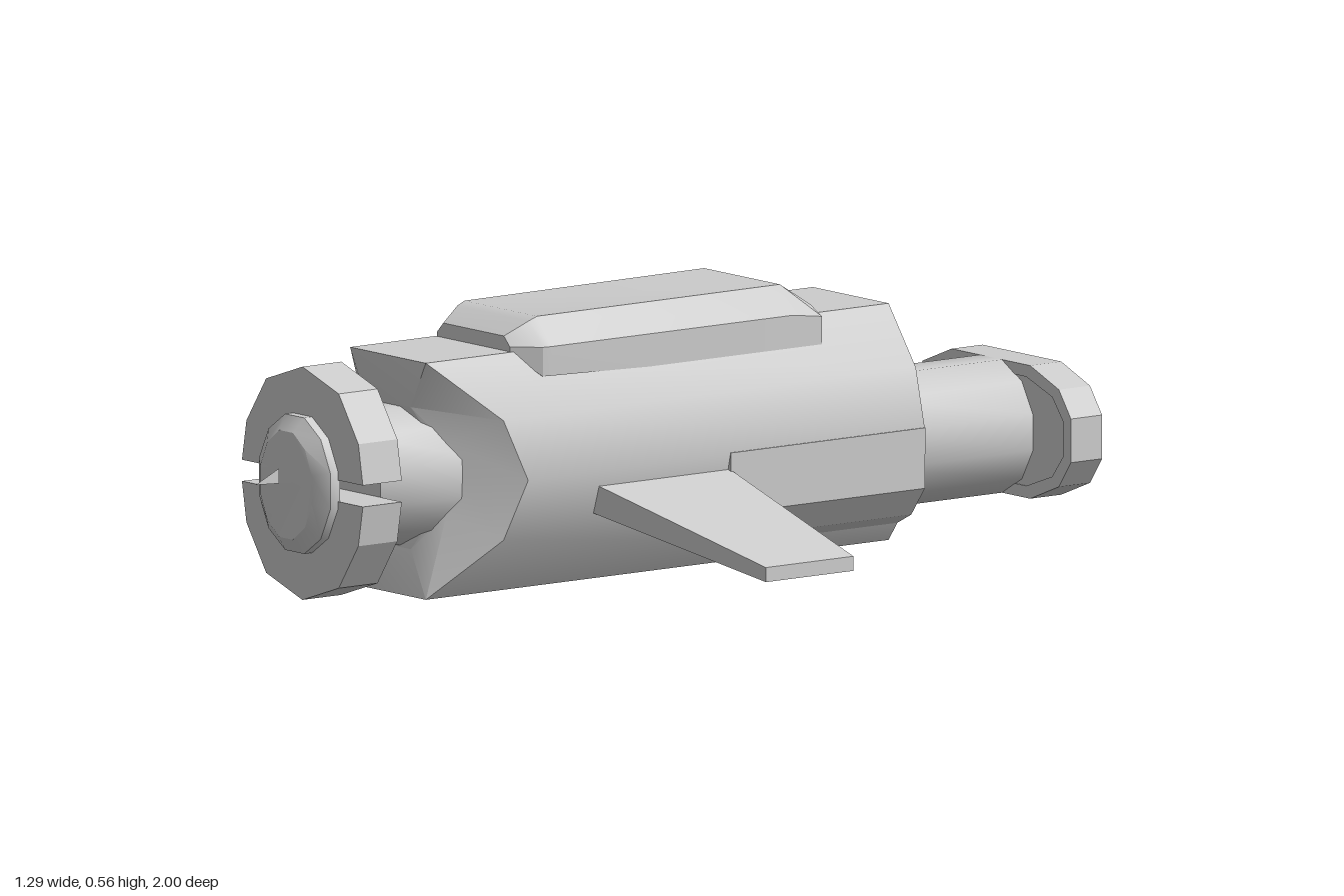
import * as THREE from 'three';
import { toCreasedNormals } from 'three/addons/utils/BufferGeometryUtils.js';

const grey = new THREE.MeshStandardMaterial({ color: 0xcccccc });
const thin = new THREE.MeshStandardMaterial({ color: 0xcccccc, side: THREE.DoubleSide });

// Closed skin through rings of [x, y, z] points, with both ends capped
function loft(rings, crease = 0.7) {
  const n = rings[0].length, last = (rings.length - 1) * n, index = [];
  for (let i = 0; i < rings.length - 1; i++) {
    for (let j = 0; j < n; j++) {
      const a = i * n + j, b = i * n + (j + 1) % n;
      index.push(a, b, b + n, a, b + n, a + n);
    }
  }
  for (let j = 1; j < n - 1; j++) {
    index.push(0, j + 1, j, last, last + j, last + j + 1);
  }
  const g = new THREE.BufferGeometry();
  g.setAttribute('position', new THREE.Float32BufferAttribute(rings.flat(2), 3));
  g.setIndex(index);
  return toCreasedNormals(g, crease);
}

// Flat-topped polygon ring that reaches rx and ry exactly
function oval(rx, ry, cy, z, n = 12) {
  const k = 1 / Math.cos(Math.PI / n);
  return Array.from({ length: n }, (_, i) => {
    const a = (i + 0.5) * 2 * Math.PI / n;
    return [rx * k * Math.cos(a), cy + ry * k * Math.sin(a), z];
  });
}

function slab(points, depth, z, hole) {
  const shape = new THREE.Shape(points.map(p => new THREE.Vector2(...p)));
  if (hole) shape.holes.push(new THREE.Path(hole.map(p => new THREE.Vector2(...p))));
  const g = new THREE.ExtrudeGeometry(shape, { depth, bevelEnabled: false });
  return toCreasedNormals(g.translate(0, 0, z), 0.3);
}

export function createModel() {
  const model = new THREE.Group();
  const add = (name, geometry, material = grey, parent = model) => {
    const mesh = new THREE.Mesh(geometry, material);
    mesh.name = name;
    parent.add(mesh);
    return mesh;
  };

  // Ten-sided hull whose front is cut back at the sides
  const quarter = [[0.245, 0.247], [0.215, 0.37], [0.125, 0.49]];
  const upper = [...quarter, ...quarter.slice().reverse().map(([x, y]) => [-x, y])];
  const outline = [...upper, [-0.215, 0.124], [-0.125, 0.003], [0.125, 0.003], [0.215, 0.124]];
  const hullRing = (s, zSide, zMid, zTop) => outline.map(([x, y]) => [
    x * s, 0.247 + (y - 0.247) * s,
    Math.abs(x) > 0.24 ? zSide : Math.abs(x) > 0.2 ? zMid : zTop,
  ]);
  add('hull', loft([
    hullRing(1, -0.53, -0.53, -0.53),
    hullRing(1, 0.49, 0.53, 0.66),
    hullRing(0.6, 0.59, 0.61, 0.66),
  ]));

  for (const s of [1, -1]) {
    const side = s > 0 ? 'left' : 'right';

    // Lower side panel behind the wing
    const panel = [[0.2, 0.25], [0.15, 0.04], [0.2, 0.065], [0.245, 0.125], [0.247, 0.25]]
      .map(([x, y]) => [x * s, y]);
    if (s < 0) panel.reverse();
    add(side + 'SidePanel', loft([-0.53, -0.03].map(z => panel.map(p => [...p, z])), 0.2));

    // Swept, drooping wing
    const rib = (x, top, bottom, front) => [
      [x * s, top, -0.035], [x * s, top, front], [x * s, bottom, front], [x * s, bottom, -0.035],
    ];
    const ribs = [rib(0.17, 0.235, 0.17, 0.32), rib(0.645, 0.09, 0.06, 0.19)];
    add(side + 'Wing', loft(s > 0 ? ribs : ribs.reverse(), 0.2));
  }

  // Raised pack on the back
  const packRing = (z, w, topW, low, mid, top) => [
    [w, low, z], [w, mid, z], [topW, top, z], [-topW, top, z], [-w, mid, z], [-w, low, z],
  ];
  add('topPack', loft([
    packRing(-0.325, 0.168, 0.13, 0.42, 0.49, 0.51),
    packRing(-0.25, 0.168, 0.125, 0.422, 0.5, 0.558),
    packRing(0.37, 0.168, 0.12, 0.44, 0.5, 0.556),
    packRing(0.39, 0.165, 0.118, 0.44, 0.5, 0.548),
    packRing(0.44, 0.12, 0.1, 0.485, 0.5, 0.52),
  ], 0.5));

  // Neck, split collar and nose
  add('neck', loft([oval(0.155, 0.15, 0.247, 0.55), oval(0.13, 0.135, 0.247, 0.78)]));
  const half = [[0.2, 0.022], [0.185, 0.105], [0.12, 0.2], [0, 0.24],
    [-0.12, 0.2], [-0.185, 0.105], [-0.2, 0.022]];
  add('upperCollar', slab(half.map(([x, y]) => [x, 0.249 + y]), 0.1, 0.78));
  add('lowerCollar', slab(half.map(([x, y]) => [x, 0.249 - y]), 0.1, 0.78));
  add('nose', loft([
    oval(0.118, 0.14, 0.25, 0.875), oval(0.118, 0.14, 0.25, 0.9), oval(0.085, 0.11, 0.25, 0.922),
  ], 0.6));

  // Small flat spikes at both ends
  const spike = (name, y, z, length) => {
    const g = new THREE.BufferGeometry();
    g.setAttribute('position', new THREE.Float32BufferAttribute(
      [0, y, z + length, 0, y - 0.003, z, 0, y + 0.028, z], 3));
    g.computeVertexNormals();
    add(name, g, thin);
  };
  spike('noseSpike', 0.258, 0.94, 0.06);
  spike('tailSpike', 0.222, -0.965, -0.035);

  // Tail boom and its wide, recessed end housing
  add('tailBoom', loft([oval(0.137, 0.137, 0.188, -0.91), oval(0.137, 0.137, 0.188, -0.5)]));
  const corner = [[0.265, 0.045], [0.225, 0.1], [0.13, 0.137]];
  const arc = [...corner, ...corner.slice().reverse().map(([x, y]) => [-x, y])];
  const rim = [...arc, ...arc.map(([x, y]) => [-x, -y])];
  const place = (k, m) => rim.map(([x, y]) => [x * k, 0.188 + y * m]);
  add('tailHousing', slab(place(1, 1), 0.08, -0.97, place(0.9, 0.82)));
  add('tailBulkhead', slab(place(0.95, 0.93), 0.03, -0.922));

  // Twin three-bladed propellers
  for (const s of [1, -1]) {
    const propeller = new THREE.Group();
    propeller.name = s > 0 ? 'leftPropeller' : 'rightPropeller';
    propeller.position.set(0.115 * s, 0.185, -0.95);
    model.add(propeller);
    add('hub', new THREE.ConeGeometry(0.016, 0.06, 8).rotateX(-Math.PI / 2), grey, propeller);
    for (let i = 0; i < 3; i++) {
      const blade = new THREE.SphereGeometry(1, 8, 6).scale(0.022, 0.032, 0.005);
      blade.rotateY(0.6).translate(0, 0.04, 0).rotateZ(i * 2 * Math.PI / 3);
      add('blade', blade, grey, propeller);
    }
  }
  return model;
}
